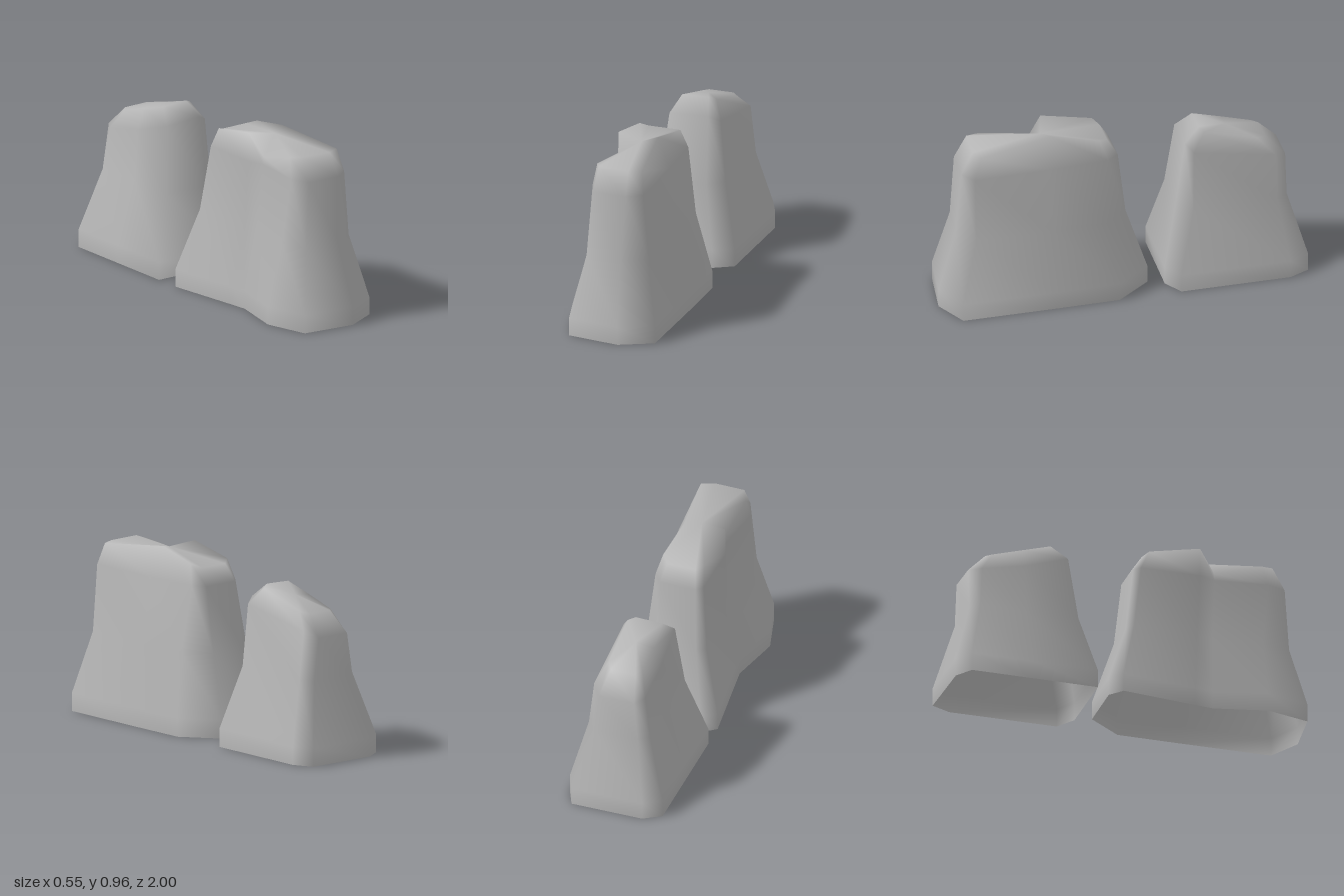
import * as THREE from 'three';

// Skin a stack of matching rings (points are [x, y, z]) and close the top with a fan
function loft(rings, peak) {
  const n = rings[0].length;
  const index = [];
  for (let r = 0; r < rings.length - 1; r++) {
    for (let i = 0; i < n; i++) {
      const j = (i + 1) % n;
      const a = r * n + i, b = r * n + j;
      index.push(a, a + n, b + n, a, b + n, b);
    }
  }
  const top = (rings.length - 1) * n;
  for (let i = 0; i < n; i++) index.push(top + i, rings.length * n, top + (i + 1) % n);
  const geometry = new THREE.BufferGeometry();
  geometry.setAttribute('position', new THREE.Float32BufferAttribute([...rings.flat(2), ...peak], 3));
  geometry.setIndex(index);
  geometry.computeVertexNormals();
  return geometry;
}

// Level ring from [x, z] pairs
const level = (y, outline) => outline.map(([x, z]) => [x, y, z]);

export function createModel() {
  const group = new THREE.Group();
  group.name = 'rockPair';
  const stone = new THREE.MeshStandardMaterial({ color: 0xb4b4b4, side: THREE.DoubleSide });
  stone.name = 'grey stone';

  const addRock = (name, rings, peak) => {
    const mesh = new THREE.Mesh(loft(rings, peak), stone);
    mesh.name = name;
    group.add(mesh);
  };

  // Long front rock, with a gully down its -x side
  const frontBase = [[-0.2, -0.15], [0.12, -0.14], [0.265, 0.05], [0.265, 0.4], [0.26, 0.91], [0.08, 1],
    [-0.21, 0.96], [-0.275, 0.72], [-0.21, 0.43], [-0.222, 0.33], [-0.275, -0.09]];
  addRock('frontRock', [
    level(0, frontBase),
    level(0.1, frontBase),
    level(0.44, [[-0.13, -0.03], [0.08, -0.03], [0.19, 0.1], [0.2, 0.4], [0.19, 0.82], [0.06, 0.9],
      [-0.14, 0.88], [-0.18, 0.72], [-0.14, 0.45], [-0.152, 0.36], [-0.18, 0]]),
    level(0.8, [[-0.11, 0.015], [0.09, 0.015], [0.14, 0.08], [0.155, 0.4], [0.16, 0.82], [0.08, 0.875],
      [-0.11, 0.865], [-0.15, 0.76], [-0.115, 0.47], [-0.148, 0.38], [-0.145, 0.05]]),
    [[-0.09, 0.89, 0.07], [0.07, 0.89, 0.07], [0.11, 0.91, 0.12], [0.08, 0.96, 0.38], [0.14, 0.92, 0.78], [0.07, 0.92, 0.81],
      [-0.1, 0.925, 0.8], [-0.135, 0.91, 0.73], [-0.11, 0.84, 0.47], [-0.145, 0.96, 0.38], [-0.13, 0.91, 0.1]],
  ], [0, 0.94, 0.42]);

  // Shorter back rock, its top sloping down to the rear
  const backBase = [[-0.18, -1], [0.22, -1], [0.27, -0.89], [0.265, -0.29],
    [0.16, -0.225], [-0.275, -0.235], [-0.275, -0.6], [-0.275, -0.94]];
  addRock('backRock', [
    level(0, backBase),
    level(0.1, backBase),
    level(0.44, [[-0.12, -0.905], [0.13, -0.905], [0.18, -0.84], [0.18, -0.38],
      [0.1, -0.3], [-0.17, -0.31], [-0.16, -0.6], [-0.175, -0.86]]),
    [[-0.1, 0.67, -0.905], [0.1, 0.67, -0.905], [0.15, 0.7, -0.84], [0.15, 0.78, -0.39],
      [0.09, 0.81, -0.355], [-0.13, 0.8, -0.355], [-0.14, 0.72, -0.6], [-0.14, 0.67, -0.84]],
    [[-0.07, 0.78, -0.8], [0.07, 0.78, -0.8], [0.1, 0.79, -0.75], [0.1, 0.87, -0.46],
      [0.06, 0.885, -0.44], [-0.09, 0.88, -0.44], [-0.1, 0.83, -0.6], [-0.1, 0.78, -0.77]],
  ], [0, 0.845, -0.6]);

  return group;
}
